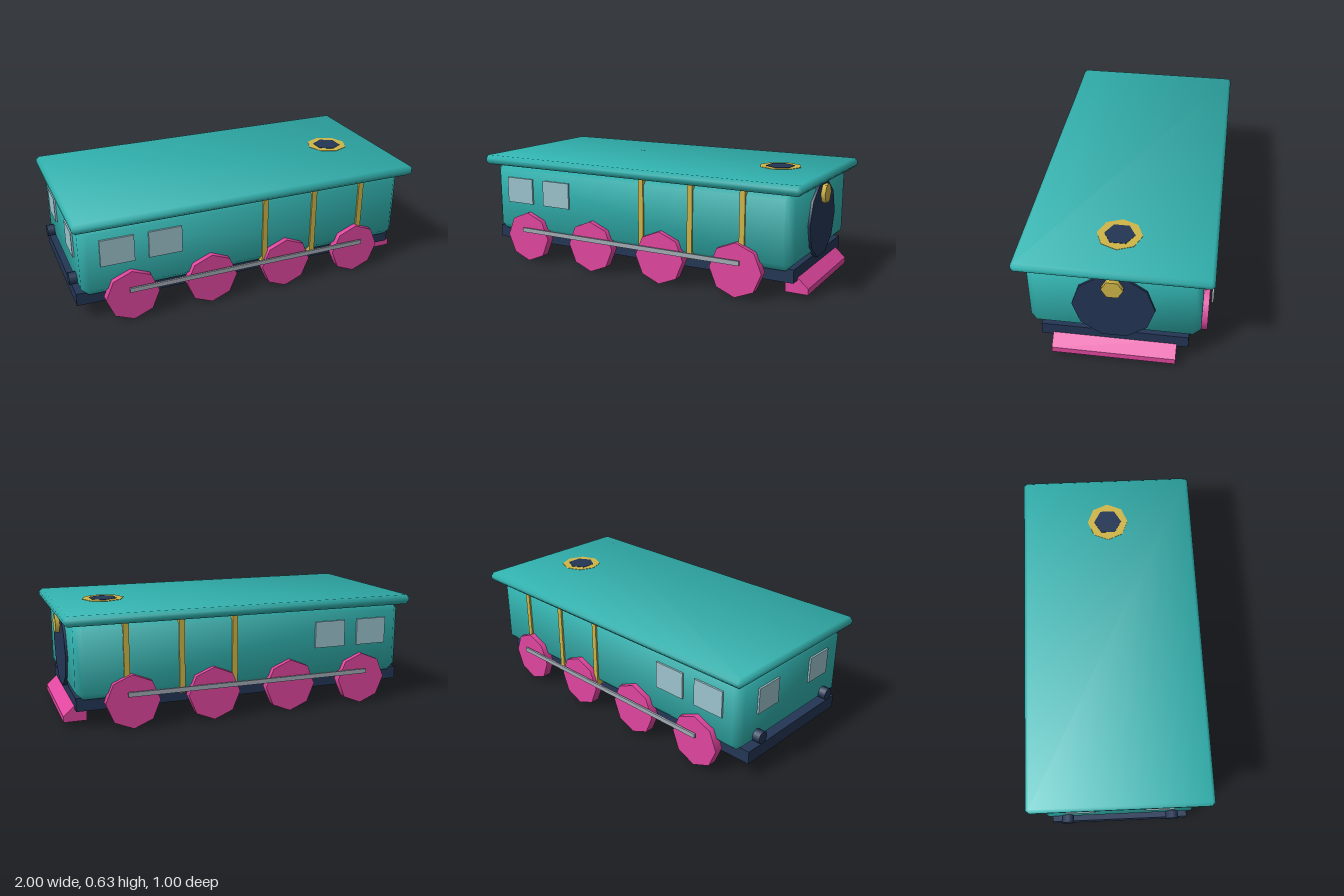
import * as THREE from 'three';
import { ConvexGeometry } from 'three/addons/geometries/ConvexGeometry.js';

const mat = (name, color) => {
  const m = new THREE.MeshStandardMaterial({ color });
  m.name = name;
  return m;
};

// Box with one-step bevels on all edges and softly blended normals
function bevelBox(w, h, d, b) {
  const half = [w / 2, h / 2, d / 2];
  const points = [];
  for (const sx of [-1, 1]) for (const sy of [-1, 1]) for (const sz of [-1, 1]) {
    for (let axis = 0; axis < 3; axis++) {
      const p = [sx, sy, sz].map((s, i) => s * (half[i] - (i === axis ? 0 : b)));
      points.push(new THREE.Vector3(...p));
    }
  }
  const geo = new ConvexGeometry(points);
  const pos = geo.attributes.position;
  const n = new THREE.Vector3();
  for (let i = 0; i < pos.count; i++) {
    const c = [pos.getX(i), pos.getY(i), pos.getZ(i)];
    const v = c.map((k, a) => Math.sign(k) * (Math.abs(k) > half[a] - b / 2 ? 2.8 : 1.09));
    n.set(...v).normalize();
    geo.attributes.normal.setXYZ(i, n.x, n.y, n.z);
  }
  return geo;
}

export function createModel() {
  const group = new THREE.Group();
  group.name = 'locomotive';

  const teal = mat('teal paint', 0x31b3b0);
  const navy = mat('navy metal', 0x233655);
  const pink = mat('pink paint', 0xe0469f);
  const brass = mat('brass', 0xcfb548);
  const steel = mat('steel', 0xa2abb5);
  const glass = mat('glass', 0x9cc3cd);

  const add = (name, geo, material, x, y, z) => {
    const mesh = new THREE.Mesh(geo, material);
    mesh.name = name;
    mesh.position.set(x, y, z);
    group.add(mesh);
    return mesh;
  };
  const box = (w, h, d) => new THREE.BoxGeometry(w, h, d);
  const discX = (r, t, n) => new THREE.CylinderGeometry(r, r, t, n).rotateZ(-Math.PI / 2);
  const discZ = (r, t, n) => new THREE.CylinderGeometry(r, r, t, n).rotateX(Math.PI / 2);

  // Main volumes
  add('body', bevelBox(1.9, 0.41, 0.89, 0.04), teal, -0.01, 0.37, 0);
  add('roof', bevelBox(1.99, 0.055, 0.998, 0.018), teal, 0, 0.597, 0);
  add('chassis', box(1.92, 0.072, 0.77), navy, -0.025, 0.134, 0);

  // Bands around the boiler
  for (const x of [0.075, 0.375, 0.675]) {
    add('boilerBand', box(0.03, 0.405, 0.91), brass, x, 0.3675, 0);
  }

  // Chimney rim and opening, just above the roof
  add('chimneyRim', new THREE.CylinderGeometry(0.118, 0.118, 0.04, 8), brass, 0.7, 0.6065, 0);
  add('chimneyOpening', new THREE.CylinderGeometry(0.08, 0.08, 0.04, 6), navy, 0.7, 0.6085, 0);

  // Front end
  add('smokeboxDoor', discX(0.212, 0.025, 10), navy, 0.94, 0.358, 0);
  add('headlamp', discX(0.056, 0.028, 6), brass, 0.962, 0.5, 0);
  const plough = new THREE.Shape([
    [0.87, 0.027], [0.995, 0.027], [0.995, 0.06], [0.922, 0.125], [0.87, 0.125],
  ].map(([x, y]) => new THREE.Vector2(x, y)));
  add('trackGuard', new THREE.ExtrudeGeometry(plough, { depth: 0.65, bevelEnabled: false }),
    pink, 0, 0, -0.325);

  for (const s of [-1, 1]) {
    // Running gear
    for (const x of [-0.7, -0.25, 0.2, 0.65]) {
      add('wheel', discZ(0.147, 0.05, 8), pink, x, 0.149, s * 0.451);
    }
    add('couplingRod', box(1.4, 0.025, 0.011), steel, -0.02, 0.195, s * 0.492);

    // Cab windows and rear buffers
    for (const x of [-0.765, -0.503]) {
      add('sideWindow', box(0.184, 0.15, 0.02), glass, x, 0.42, s * 0.445);
    }
    add('rearWindow', box(0.02, 0.145, 0.165), glass, -0.96, 0.42, s * 0.22);
    add('rearBuffer', discX(0.035, 0.05, 8), navy, -0.977, 0.221, s * 0.296);
  }
  return group;
}
